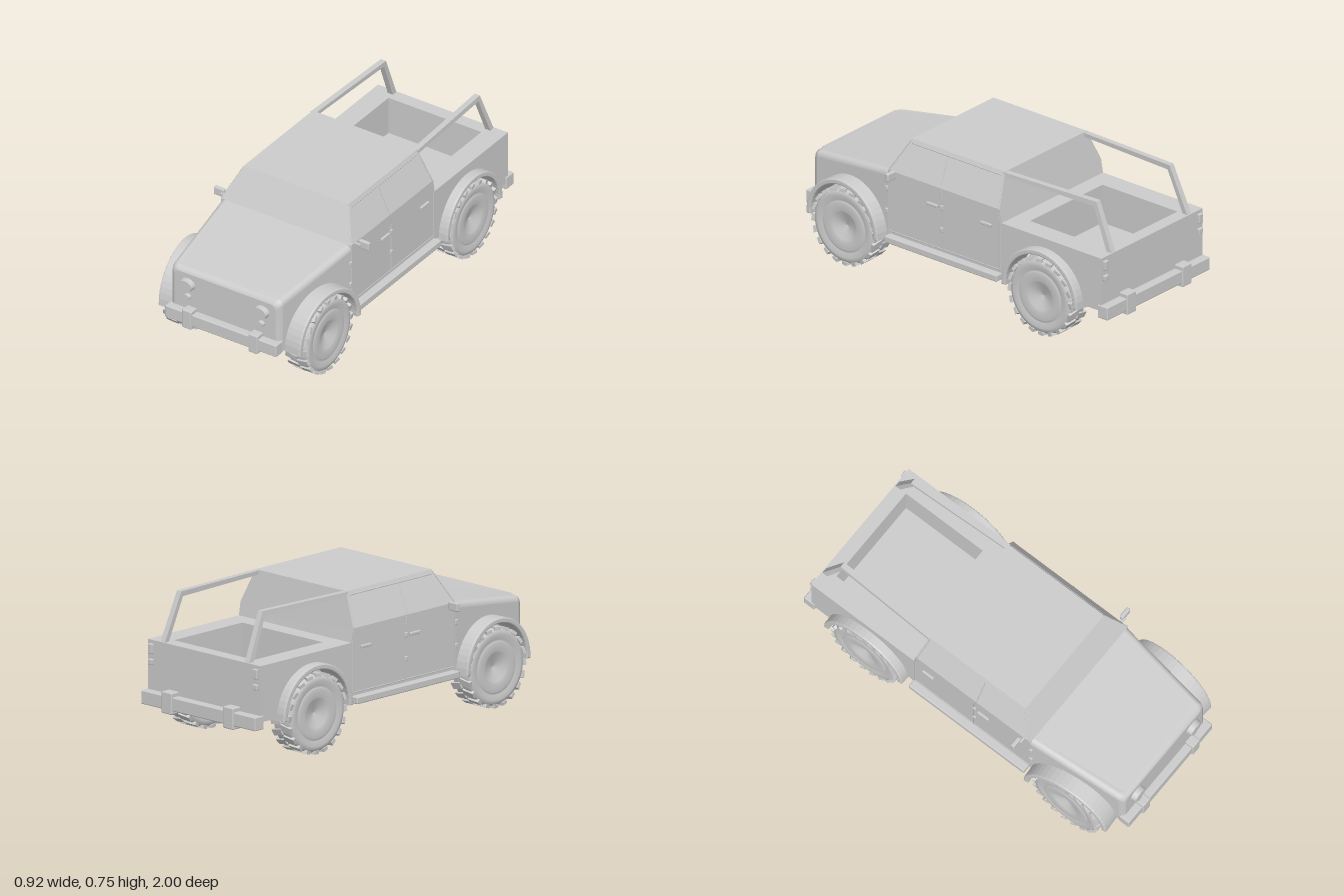
import * as THREE from 'three';
import { mergeGeometries } from 'three/addons/utils/BufferGeometryUtils.js';
import { RoundedBoxGeometry } from 'three/addons/geometries/RoundedBoxGeometry.js';

const mat = new THREE.MeshStandardMaterial({ color: 0xcccccc, side: THREE.DoubleSide });
const V = (x, y, z) => new THREE.Vector3(x, y, z);

export function createModel() {
  const car = new THREE.Group();
  const add = (name, geo) => {
    const m = new THREE.Mesh(geo, mat);
    m.name = name;
    car.add(m);
  };
  // Adds a left part and its mirrored right twin, with the winding flipped back
  const addBoth = (name, geo) => {
    add(name + 'Left', geo);
    const g = geo.index ? geo.toNonIndexed() : geo.clone();
    g.scale(-1, 1, 1);
    for (const a of Object.values(g.attributes)) {
      const n = a.itemSize;
      for (let i = 0; i < a.count; i += 3) {
        for (let k = 0; k < n; k++) {
          const p = (i + 1) * n + k, q = (i + 2) * n + k;
          [a.array[p], a.array[q]] = [a.array[q], a.array[p]];
        }
      }
    }
    add(name + 'Right', g);
  };
  const box = (w, h, d, x, y, z, r = 0.006) =>
    new RoundedBoxGeometry(w, h, d, 2, r).translate(x, y, z);
  // Flat convex panel from its corners
  const panel = (...pts) => {
    const tris = [];
    for (let i = 1; i < pts.length - 1; i++) tris.push(V(...pts[0]), V(...pts[i]), V(...pts[i + 1]));
    const g = new THREE.BufferGeometry().setFromPoints(tris);
    g.computeVertexNormals();
    return g;
  };
  // Side-view shape from (z, y) points
  const sideShape = pts => new THREE.Shape(pts.map(([z, y]) => new THREE.Vector2(-z, y)));
  // Moves x by a rule of y and z
  const bendX = (geo, rule) => {
    const p = geo.attributes.position;
    for (let i = 0; i < p.count; i++) p.setX(i, p.getX(i) + rule(p.getY(i), p.getZ(i)));
    geo.computeVertexNormals();
    return geo;
  };
  const arch = (cz, r, y) => {
    const pts = [];
    for (let i = 0; i <= 24; i++) {
      const a = Math.PI * i / 24;
      pts.push([cz + r * Math.cos(a), y + r * Math.sin(a)]);
    }
    return pts;
  };

  // Nose and bonnet, lofted over rounded cross-sections
  const ring = (z, w, top, r, bottom) => {
    const half = bottom === undefined ? [] : [[w, bottom]];
    for (let i = 0; i <= 5; i++) {
      const a = Math.PI * i / 10;
      half.push([w - r + r * Math.cos(a), top - r + r * Math.sin(a)]);
    }
    return [...half, ...half.slice().reverse().map(([x, y]) => [-x, y])].map(([x, y]) => [x, y, z]);
  };
  const loft = rings => {
    const n = rings[0].length, idx = [];
    for (let j = 0; j < rings.length - 1; j++) {
      for (let i = 0; i < n - 1; i++) {
        const a = j * n + i, d = a + n;
        idx.push(a, d, a + 1, a + 1, d, d + 1);
      }
    }
    const g = new THREE.BufferGeometry().setFromPoints(rings.flat().map(p => V(...p)));
    g.setIndex(idx);
    g.computeVertexNormals();
    return g;
  };
  const noseTip = ring(0.952, 0.3, 0.478, 0.03, 0.21);
  add('nose', loft([noseTip, ring(0.945, 0.316, 0.493, 0.03, 0.21), ring(0.925, 0.325, 0.503, 0.03, 0.21)]));
  add('grillePanel', panel(...noseTip));
  add('bonnet', loft([ring(0.925, 0.325, 0.503, 0.03), ring(0.42, 0.385, 0.575, 0.03)]));
  add('firewall', panel([-0.385, 0.54, 0.42], [0.385, 0.54, 0.42], [0.385, 0.575, 0.42], [-0.385, 0.575, 0.42]));
  add('bonnetPanel', panel([-0.28, 0.506, 0.935], [0.28, 0.506, 0.935], [0.3, 0.513, 0.9],
    [0.35, 0.579, 0.43], [-0.35, 0.579, 0.43], [-0.3, 0.513, 0.9]));

  // Front side panels with wheel arch cut-outs
  const frontZ = 0.67, rearZ = -0.59, wheelY = 0.205;
  addBoth('frontSide', bendX(new THREE.ShapeGeometry(sideShape([
    [0.925, 0.21], ...arch(frontZ, 0.232, 0.21), [0.42, 0.21], [0.42, 0.545], [0.925, 0.473],
  ])).rotateY(Math.PI / 2), (y, z) => 0.385 - (z - 0.42) * 0.119));

  // Cabin
  addBoth('doorSide', panel([0.385, 0.22, 0.42], [0.385, 0.22, -0.31], [0.385, 0.505, -0.31],
    [0.385, 0.575, -0.298], [0.385, 0.575, 0.42]));
  addBoth('upperSide', panel([0.385, 0.575, 0.42], [0.385, 0.575, -0.298], [0.31, 0.745, -0.27], [0.31, 0.745, 0.33]));
  add('windscreen', panel([-0.385, 0.575, 0.42], [0.385, 0.575, 0.42], [0.31, 0.745, 0.33], [-0.31, 0.745, 0.33]));
  add('windscreenGlass', panel([-0.365, 0.587, 0.418], [0.365, 0.587, 0.418], [0.301, 0.734, 0.34], [-0.301, 0.734, 0.34]));
  add('roof', panel([-0.31, 0.745, 0.33], [0.31, 0.745, 0.33], [0.31, 0.745, -0.27], [-0.31, 0.745, -0.27]));
  add('cabinBack', panel([0.385, 0.505, -0.31], [-0.385, 0.505, -0.31], [-0.385, 0.575, -0.298],
    [-0.31, 0.745, -0.27], [0.31, 0.745, -0.27], [0.385, 0.575, -0.298]));

  // Door seams follow the lean of the cabin
  const skinX = y => 0.385 - Math.max(0, y - 0.575) * 0.441;
  const seams = [
    [[0.33, 0.735], [0.415, 0.575], [0.415, 0.25], [-0.3, 0.25], [-0.3, 0.505], [-0.29, 0.575], [-0.262, 0.735]],
    [[0.088, 0.725], [0.083, 0.575], [0.07, 0.52], [0.07, 0.25]],
    [[0.32, 0.725], [-0.255, 0.725]],
  ];
  for (const line of seams) {
    const tubes = [];
    for (let i = 0; i < line.length - 1; i++) {
      const [a, b] = [line[i], line[i + 1]].map(([z, y]) => V(skinX(y), y, z));
      tubes.push(new THREE.TubeGeometry(new THREE.LineCurve3(a, b), 1, 0.003, 5));
    }
    addBoth('doorSeam', mergeGeometries(tubes));
  }
  for (const z of [0.13, -0.215]) addBoth('doorHandle', box(0.014, 0.016, 0.07, 0.391, 0.475, z, 0.004));
  for (const z of [0.425, 0.072]) {
    for (const y of [0.475, 0.355]) addBoth('hinge', box(0.014, 0.025, 0.02, 0.386, y, z, 0.004));
  }
  addBoth('mirror', mergeGeometries([
    box(0.06, 0.044, 0.022, 0.43, 0.571, 0.366), box(0.04, 0.01, 0.012, 0.395, 0.571, 0.38, 0.003)]));
  addBoth('runningBoard', box(0.065, 0.036, 0.72, 0.393, 0.217, 0.05));

  // Load bed
  addBoth('bedSide', new THREE.ShapeGeometry(sideShape([
    [-0.31, 0.22], ...arch(rearZ, 0.232, 0.22), [-0.95, 0.22], [-0.95, 0.505], [-0.31, 0.505],
  ])).rotateY(Math.PI / 2).translate(0.385, 0, 0));
  add('tailgate', panel([0.385, 0.22, -0.95], [-0.385, 0.22, -0.95], [-0.385, 0.505, -0.95], [0.385, 0.505, -0.95]));
  const rect = (Type, w, z0, z1) =>
    new Type([[-w, z0], [w, z0], [w, z1], [-w, z1]].map(([x, z]) => new THREE.Vector2(x, -z)));
  const rim = rect(THREE.Shape, 0.385, -0.31, -0.95);
  rim.holes.push(rect(THREE.Path, 0.275, -0.4, -0.88));
  add('bedRim', new THREE.ShapeGeometry(rim).rotateX(-Math.PI / 2).translate(0, 0.505, 0));
  add('bedFloor', new THREE.ShapeGeometry(rect(THREE.Shape, 0.275, -0.4, -0.88)).rotateX(-Math.PI / 2).translate(0, 0.3, 0));
  const wall = (x0, z0, x1, z1) => panel([x0, 0.3, z0], [x1, 0.3, z1], [x1, 0.505, z1], [x0, 0.505, z0]);
  addBoth('bedInnerSide', wall(0.275, -0.88, 0.275, -0.4));
  add('bedInnerFront', wall(0.275, -0.4, -0.275, -0.4));
  add('bedInnerBack', wall(-0.275, -0.88, 0.275, -0.88));

  // Sport rails over the bed
  addBoth('bedRail', bendX(new THREE.ExtrudeGeometry(sideShape([
    [-0.26, 0.743], [-0.84, 0.747], [-0.945, 0.505], [-0.915, 0.505], [-0.826, 0.72], [-0.27, 0.722],
  ]), { depth: 0.03, bevelEnabled: false }).rotateY(Math.PI / 2),
  (y, z) => 0.284 + (z + 0.31) * 0.04 + (0.745 - y) * 0.06));

  // Wheel arch flares; the front pair turns in with the nose
  const flare = new THREE.ExtrudeGeometry(
    sideShape([...arch(0, 0.238, 0), ...arch(0, 0.222, 0).reverse()]),
    { depth: 0.115, bevelSize: 0.006, bevelThickness: 0.008, bevelSegments: 2 }).rotateY(Math.PI / 2);
  addBoth('frontFlare', flare.clone().translate(-0.06, 0, 0).rotateY(-0.075).translate(0.375, 0.212, frontZ));
  addBoth('rearFlare', flare.clone().translate(0.312, 0.212, rearZ));

  // Wheels: lathed tyre with staggered tread blocks
  const profile = [[0, -0.035], [0.125, -0.04], [0.13, -0.058], [0.165, -0.064], [0.186, -0.059], [0.196, -0.045],
    [0.196, 0.045], [0.186, 0.059], [0.165, 0.064], [0.14, 0.056], [0.13, 0.056], [0.125, 0.062], [0.082, 0.06],
    [0.076, 0.054], [0, 0.03]].map(([r, y]) => new THREE.Vector2(r, y));
  const wheelParts = [new THREE.LatheGeometry(profile, 44).rotateZ(-Math.PI / 2)];
  const blocks = 20;
  for (let i = 0; i < blocks; i++) {
    for (const s of [-1, 1]) {
      wheelParts.push(new THREE.BoxGeometry(0.065, 0.018, 0.034).rotateY(s * 0.22)
        .translate(s * 0.032, 0.195, 0).rotateX(Math.PI * 2 * (i + s * 0.2) / blocks));
    }
  }
  const wheel = mergeGeometries(wheelParts);
  for (const [name, z] of [['front', frontZ], ['rear', rearZ]]) {
    addBoth(name + 'Wheel', wheel.clone().translate(0.365, wheelY, z));
    add(name + 'Axle', new THREE.CylinderGeometry(0.013, 0.013, 0.68, 10).rotateZ(Math.PI / 2).translate(0, wheelY, z));
  }

  // Bumpers with wrap-around brackets
  add('frontBumper', box(0.66, 0.068, 0.06, 0, 0.243, 0.962));
  addBoth('frontBumperBracket', box(0.056, 0.104, 0.078, 0.196, 0.244, 0.961));
  add('rearBumper', box(0.78, 0.07, 0.065, 0, 0.218, -0.961));
  addBoth('rearBumperBracket', box(0.07, 0.11, 0.078, 0.21, 0.22, -0.961));

  // Lamps
  const lamp = (rx, ry, depth, x, y, z) => new THREE.CylinderGeometry(0.88, 1, depth, 32)
    .rotateX(Math.PI / 2).scale(rx, ry, 1).translate(x, y, z);
  addBoth('headlight', lamp(0.045, 0.034, 0.035, 0.22, 0.42, 0.963));
  addBoth('indicator', lamp(0.02, 0.015, 0.025, 0.218, 0.352, 0.96));
  addBoth('tailLight', box(0.03, 0.05, 0.02, 0.358, 0.462, -0.955, 0.004));
  addBoth('reverseLight', box(0.03, 0.028, 0.02, 0.358, 0.395, -0.955, 0.004));

  return car;
}
